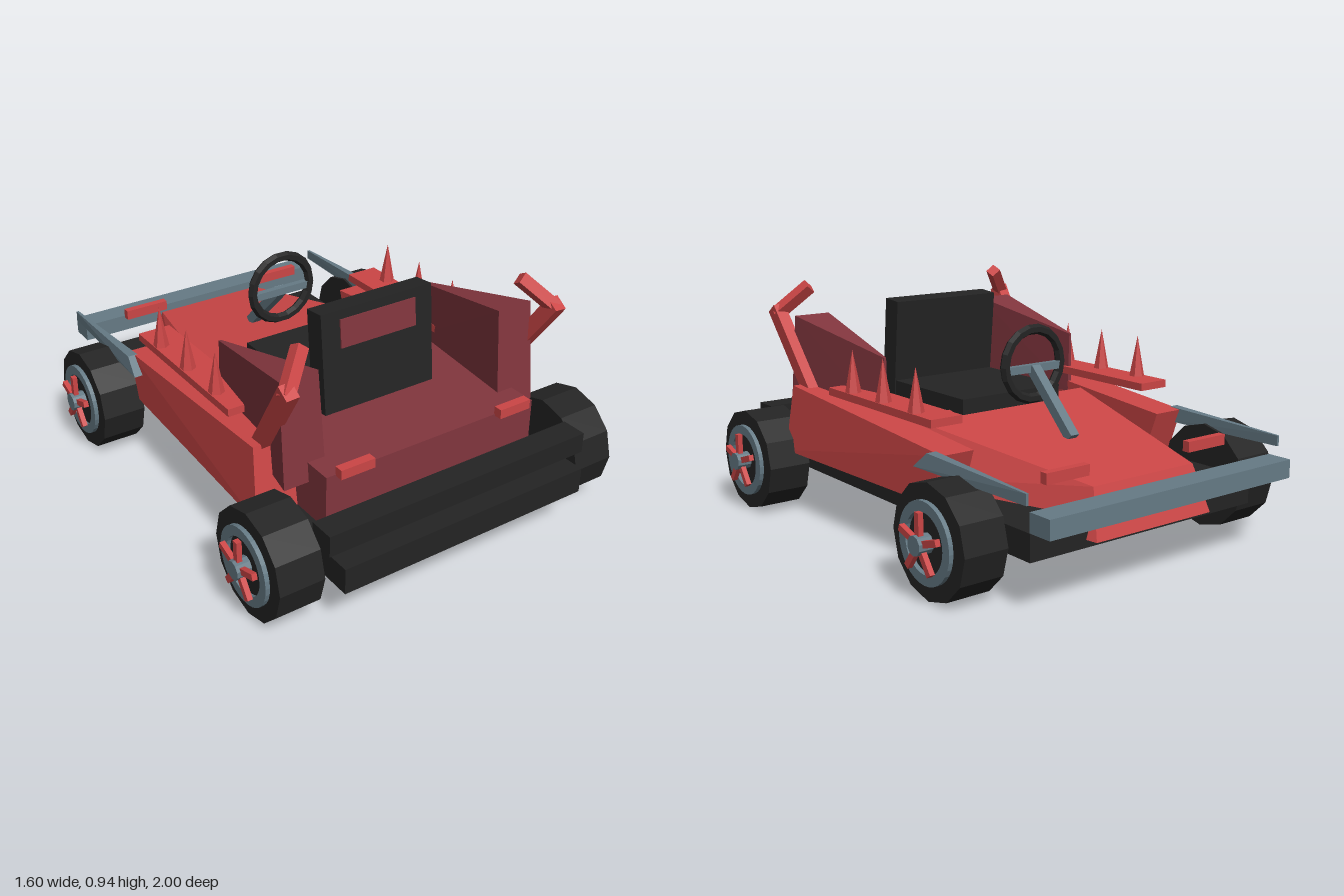
import * as THREE from 'three';
import { ConvexGeometry } from 'three/addons/geometries/ConvexGeometry.js';

const makeMat = (name, color) => {
  const m = new THREE.MeshStandardMaterial({ color });
  m.name = name;
  return m;
};

export function createModel() {
  const red = makeMat('red', 0xcc4646);
  const darkRed = makeMat('darkRed', 0x82363e);
  const black = makeMat('black', 0x242424);
  const steel = makeMat('steel', 0x667b86);
  const kart = new THREE.Group();
  kart.name = 'kart';

  // Adds a faceted mesh
  const add = (name, geometry, material, parent = kart) => {
    const g = geometry.index ? geometry.toNonIndexed() : geometry;
    g.computeVertexNormals();
    const mesh = new THREE.Mesh(g, material);
    mesh.name = name;
    parent.add(mesh);
    return mesh;
  };
  // Box given by its ranges on the three axes
  const box = (name, mat, [x0, x1], [y0, y1], [z0, z1], parent) => {
    const m = add(name, new THREE.BoxGeometry(Math.abs(x1 - x0), y1 - y0, z1 - z0), mat, parent);
    m.position.set((x0 + x1) / 2, (y0 + y1) / 2, (z0 + z1) / 2);
    return m;
  };
  // Convex block from corner points, mirrored in x when s is -1
  const block = (name, mat, corners, s = 1) =>
    add(name, new ConvexGeometry(corners.map(([x, y, z]) => new THREE.Vector3(x * s, y, z))), mat);
  // Square bar between two points
  const bar = (name, mat, a, b, w, d = w) => {
    const p = new THREE.Vector3(...a), q = new THREE.Vector3(...b);
    const dir = q.clone().sub(p);
    const m = add(name, new THREE.BoxGeometry(w, dir.length(), d), mat);
    m.position.copy(p).add(q).multiplyScalar(0.5);
    m.quaternion.setFromUnitVectors(new THREE.Vector3(0, 1, 0), dir.normalize());
    return m;
  };

  // Chassis and bumpers
  box('chassis', black, [-0.53, 0.53], [0.165, 0.265], [-0.85, 1.0]);
  box('rearBumper', black, [-0.565, 0.565], [0.305, 0.385], [0.86, 0.96]);
  box('noseBumper', steel, [-0.575, 0.575], [0.29, 0.36], [-1.0, -0.9]);

  // Hood and rear deck
  const hood = [];
  for (const s of [-1, 1]) {
    hood.push([0.275 * s, 0.19, -0.89], [0.24 * s, 0.365, -0.83],
      [0.57 * s, 0.265, 0.05], [0.44 * s, 0.48, 0]);
  }
  block('hood', red, hood);
  box('rearDeck', darkRed, [-0.46, 0.46], [0.25, 0.475], [0.16, 0.785]);

  // Seat with tilted backrest
  box('seatCushion', black, [-0.24, 0.24], [0.475, 0.535], [-0.09, 0.38]);
  const backrest = new THREE.Group();
  backrest.name = 'backrest';
  backrest.position.set(0, 0.672, 0.405);
  backrest.rotation.x = -0.09;
  kart.add(backrest);
  box('backrestPad', black, [-0.245, 0.245], [-0.195, 0.195], [-0.043, 0.043], backrest);
  box('backrestPanel', darkRed, [-0.167, 0.167], [0.05, 0.16], [0.042, 0.049], backrest);

  // Steering wheel and column
  const ring = add('steeringWheel', new THREE.TorusGeometry(0.135, 0.02, 6, 18), black);
  ring.position.set(0, 0.665, -0.215);
  box('steeringSpoke', steel, [-0.125, 0.125], [0.635, 0.665], [-0.23, -0.205]);
  bar('steeringColumn', steel, [0, 0.65, -0.22], [0, 0.42, -0.45], 0.04, 0.04);

  for (const s of [-1, 1]) {
    // Side pod with a spiked ledge
    block('sidePod', red, [
      [0.45, 0.255, -0.37], [0.59, 0.255, -0.37], [0.45, 0.445, -0.44], [0.585, 0.445, -0.44],
      [0.46, 0.255, 0.61], [0.63, 0.255, 0.61], [0.46, 0.53, 0.565], [0.61, 0.53, 0.565],
    ], s);
    box('spikeLedge', red, [0.44 * s, 0.575 * s], [0.525, 0.555], [-0.36, 0.34]);
    for (const z of [-0.225, -0.01, 0.205]) {
      const spike = add('spike', new THREE.ConeGeometry(0.032, 0.17, 6), red);
      spike.position.set(0.545 * s, 0.635, z);
    }

    // Wedge-shaped rear fin
    block('rearFin', darkRed, [
      [0.455, 0.45, 0.1], [0.475, 0.45, 0.1], [0.46, 0.695, 0.1], [0.47, 0.695, 0.1],
      [0.39, 0.4, 0.68], [0.56, 0.4, 0.68], [0.395, 0.8, 0.64], [0.55, 0.8, 0.64],
    ], s);

    // Bent horn
    bar('hornArm', red, [0.55 * s, 0.5, 0.52], [0.578 * s, 0.825, 0.745], 0.05, 0.06);
    bar('hornTip', red, [0.585 * s, 0.8, 0.735], [0.475 * s, 0.915, 0.65], 0.045);

    // Tapered strut from pod to nose bumper
    block('noseStrut', steel, [
      [0.57, 0.39, -0.32], [0.625, 0.39, -0.32], [0.575, 0.45, -0.39], [0.615, 0.45, -0.39],
      [0.595, 0.39, -0.92], [0.605, 0.39, -0.92], [0.595, 0.43, -0.92], [0.605, 0.43, -0.92],
    ], s);

    // Lamps
    box('tailLamp', red, [0.28 * s, 0.42 * s], [0.468, 0.505], [0.78, 0.815]);
    box('noseLamp', red, [0.24 * s, 0.43 * s], [0.4, 0.44], [-0.81, -0.78]);
  }

  // Axles and wheels
  for (const z of [-0.58, 0.735]) {
    const axle = add('axle', new THREE.CylinderGeometry(0.026, 0.026, 1.58, 8), steel);
    axle.rotation.z = Math.PI / 2;
    axle.position.set(0, 0.21, z);
    for (const s of [-1, 1]) {
      const wheel = new THREE.Group();
      wheel.name = 'wheel';
      wheel.position.set(0.657 * s, 0.207, z);
      wheel.rotation.y = s * Math.PI / 2; // local +z points outward
      kart.add(wheel);
      const tire = add('tire', new THREE.CylinderGeometry(0.207, 0.207, 0.176, 12), black, wheel);
      tire.rotation.x = Math.PI / 2;
      const rimShape = new THREE.Shape().absarc(0, 0, 0.146, 0, Math.PI * 2);
      rimShape.holes.push(new THREE.Path().absarc(0, 0, 0.108, 0, Math.PI * 2, true));
      const rim = add('rim', new THREE.ExtrudeGeometry(rimShape,
        { depth: 0.03, bevelEnabled: false, curveSegments: 16 }), steel, wheel);
      rim.position.z = 0.075;
      for (let i = 0; i < 5; i++) {
        const spoke = new THREE.Group();
        spoke.name = 'wheelSpoke';
        spoke.rotation.z = i * Math.PI * 2 / 5;
        wheel.add(spoke);
        box('spokeBar', red, [-0.012, 0.012], [0.02, 0.112], [0.112, 0.132], spoke);
      }
      const hub = add('hub', new THREE.CylinderGeometry(0.036, 0.036, 0.07, 10), steel, wheel);
      hub.rotation.x = Math.PI / 2;
      hub.position.z = 0.11;
    }
  }
  return kart;
}
